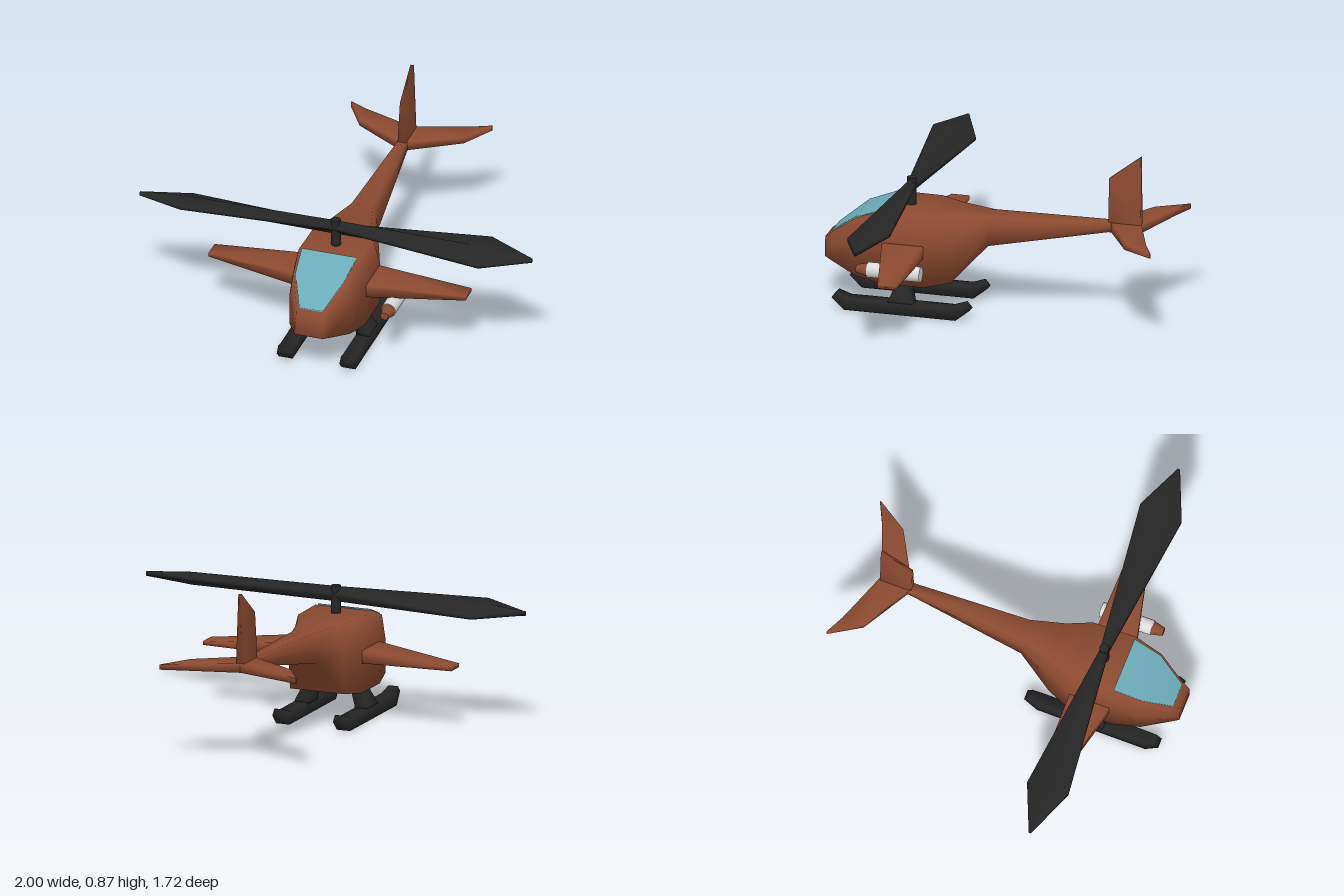
import * as THREE from 'three';

const paint = (name, color) => {
  const m = new THREE.MeshStandardMaterial({ color });
  m.name = name;
  return m;
};

// Closed skin over a list of rings (each a list of [x, y, z]), smooth normals, outward facing.
function loft(rings) {
  const n = rings[0].length, last = (rings.length - 1) * n;
  const p = rings.flat(), tris = [];
  for (let r = 0; r < rings.length - 1; r++) {
    for (let i = 0; i < n; i++) {
      const a = r * n + i, b = r * n + (i + 1) % n;
      tris.push([a, b, b + n], [a, b + n, a + n]);
    }
  }
  for (let i = 1; i < n - 1; i++) tris.push([0, i + 1, i], [last, last + i, last + i + 1]);
  // Signed volume about the first corner decides the winding
  const v = p.map((q) => new THREE.Vector3(...q).sub(new THREE.Vector3(...p[0])));
  let volume = 0;
  for (const [a, b, c] of tris) volume += v[a].dot(v[b].clone().cross(v[c]));
  const g = new THREE.BufferGeometry();
  g.setAttribute('position', new THREE.Float32BufferAttribute(p.flat(), 3));
  g.setIndex(tris.flatMap(([a, b, c]) => (volume < 0 ? [a, c, b] : [a, b, c])));
  g.computeVertexNormals();
  return g;
}

// Rectangular ring across x: spans z0..z1 and y0..y1
const sideRing = (x, y0, y1, z0, z1) => [[x, y0, z0], [x, y1, z0], [x, y1, z1], [x, y0, z1]];
// Rectangular ring across y: spans x0..x1 and z0..z1
const flatRing = (y, x0, x1, z0, z1) => [[x0, y, z0], [x1, y, z0], [x1, y, z1], [x0, y, z1]];

export function createModel() {
  const model = new THREE.Group();
  model.name = 'helicopter';
  const brown = paint('brown', 0x8c4a30);
  const black = paint('black', 0x262626);
  const glass = paint('glass blue', 0x6cabb8);
  const white = paint('white', 0xdcdcdc);

  const add = (name, geometry, material) => {
    const mesh = new THREE.Mesh(geometry, material);
    mesh.name = name;
    model.add(mesh);
    return mesh;
  };

  // Fuselage and tail boom: z, half width, top half width, bottom, shoulder, top
  const hull = [
    [0.86, 0.07, 0.065, 0.22, 0.27, 0.32],
    [0.82, 0.09, 0.075, 0.207, 0.285, 0.352],
    [0.69, 0.155, 0.135, 0.17, 0.33, 0.455],
    [0.55, 0.185, 0.155, 0.15, 0.37, 0.508],
    [0.33, 0.185, 0.15, 0.15, 0.37, 0.508],
    [0.21, 0.14, 0.1, 0.17, 0.38, 0.503],
    [0.04, 0.072, 0.055, 0.355, 0.44, 0.5],
    [-0.55, 0.026, 0.022, 0.47, 0.495, 0.52],
    [-0.71, 0.02, 0.016, 0.475, 0.49, 0.51],
  ];
  add('fuselage', loft(hull.map(([z, w, wt, b, m, t]) => [
    [-w, b, z], [w, b, z], [w, m, z], [wt, t, z], [-wt, t, z], [-w, m, z],
  ])), brown);

  // Windscreen, a thin plate bent over the nose
  add('windscreen', loft([[0.825, 0.358, 0.06], [0.69, 0.463, 0.124], [0.548, 0.516, 0.14]].map(
    ([z, y, w]) => [[-w, y - 0.009, z], [w, y - 0.009, z], [w, y, z], [-w, y, z]],
  )), glass);

  for (const [side, s] of [['left', 1], ['right', -1]]) {
    // Stub wing
    add(side + 'Wing', loft([
      sideRing(s * 0.15, 0.298, 0.364, 0.335, 0.55),
      sideRing(s * 0.655, 0.305, 0.325, 0.34, 0.43),
    ]), brown);

    // Swept tailplane
    add(side + 'Tailplane', loft([
      sideRing(0, 0.472, 0.518, -0.71, -0.55),
      sideRing(s * 0.265, 0.48, 0.512, -0.81, -0.7),
      sideRing(s * 0.36, 0.485, 0.51, -0.857, -0.85),
    ]), brown);

    // Landing skid with upturned, narrower ends: lower z, y, upper z, y, half width
    add(side + 'Skid', loft([
      [0.795, 0.055, 0.77, 0.085, 0.025], [0.73, 0, 0.71, 0.06, 0.035],
      [0.17, 0, 0.19, 0.06, 0.035], [0.1, 0.055, 0.125, 0.085, 0.025],
    ].map(([z0, y0, z1, y1, w]) => [
      [s * 0.16 - w, y0, z0], [s * 0.16 + w, y0, z0],
      [s * 0.16 + w, y1, z1], [s * 0.16 - w, y1, z1],
    ])), black);

    // Skid strut
    add(side + 'Strut', loft([
      flatRing(0.05, s * 0.125, s * 0.195, 0.385, 0.515),
      flatRing(0.07, s * 0.122, s * 0.192, 0.39, 0.508),
      flatRing(0.17, s * 0.082, s * 0.145, 0.42, 0.47),
    ]), black);

    // Rotor blade: diamond section with opposite pitch on each side
    add(side + 'RotorBlade', loft([[0, 0.022, 0.036, 0], [0.76, 0.107, 0.03, 0.022], [1, 0.006, 0.01, 0]].map(
      ([x, w, h, pitch]) => [
        [s * x, 0.605 + h, 0.445], [s * x, 0.603 - s * pitch + 0.008, 0.445 + w],
        [s * x, 0.603 - s * pitch - 0.008, 0.445 + w], [s * x, 0.601 - h, 0.445],
        [s * x, 0.603 + s * pitch - 0.008, 0.445 - w], [s * x, 0.603 + s * pitch + 0.008, 0.445 - w],
      ],
    )), black);
  }

  // Upright tail fin
  add('tailFin', loft([
    [0.49, -0.71, 0.49, -0.55, 0.022], [0.865, -0.71, 0.74, -0.55, 0.009],
  ].map(([yb, zb, yf, zf, w]) => [[-w, yb, zb], [w, yb, zb], [w, yf, zf], [-w, yf, zf]])), brown);

  // Rotor mast
  add('rotorMast', new THREE.CylinderGeometry(0.024, 0.024, 0.15, 12), black).position.set(0, 0.57, 0.445);

  // Rocket pod under the left wing only
  const pod = new THREE.CylinderGeometry(0.038, 0.038, 0.265, 14).rotateX(Math.PI / 2);
  add('rocketPod', pod, white).position.set(0.31, 0.265, 0.443);
  const tip = new THREE.CylinderGeometry(0.02, 0.035, 0.06, 14).rotateX(Math.PI / 2);
  add('rocketNose', tip, brown).position.set(0.31, 0.265, 0.603);

  return model;
}
